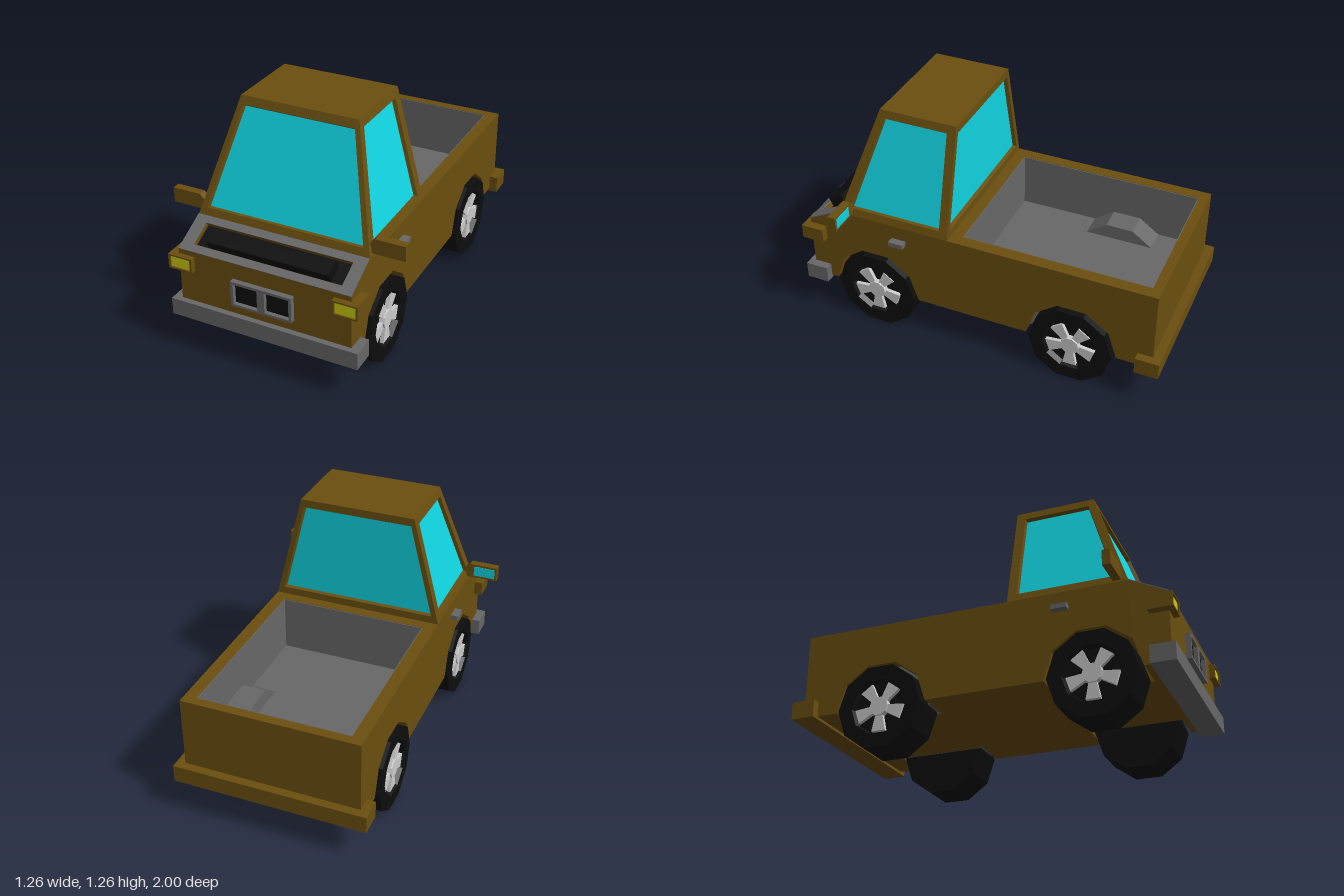
import * as THREE from 'three';

const mat = (name, color) => Object.assign(new THREE.MeshStandardMaterial({ color }), { name });
const paint = mat('brown paint', 0x6b4f0f);
const glass = mat('cyan glass', 0x11d5e2);
const grey = mat('grey trim', 0x686868);
const black = mat('black rubber', 0x0d0d0d);
const silver = mat('silver rim', 0xcccccc);
const yellow = mat('yellow lamp', 0xcccc12);

const BOTTOM = 0.215, BELT = 0.67, ROOF = 1.26, HALF = 0.465, BED = 0.4, WELL = 0.265;
const AXLES = [0.59, -0.52], ARCH = 0.246, TYRE = 0.226;
const SLOPE = Math.atan2(0.095, 0.19); // bonnet tilt

export function createModel() {
  const model = new THREE.Group();
  model.name = 'pickupTruck';

  const add = (name, geo, material, parent = model) => {
    const mesh = new THREE.Mesh(geo, material);
    mesh.name = name;
    parent.add(mesh);
    return mesh;
  };
  const flat = (geo) => {
    const g = geo.index ? geo.toNonIndexed() : geo;
    g.computeVertexNormals();
    return g;
  };
  // box given by its limits on each axis
  const box = (name, m, [x0, x1], [y0, y1], [z0, z1], parent) => {
    const b = add(name, new THREE.BoxGeometry(x1 - x0, y1 - y0, z1 - z0), m, parent);
    b.position.set((x0 + x1) / 2, (y0 + y1) / 2, (z0 + z1) / 2);
    return b;
  };
  const shapeOf = (pts) => new THREE.Shape(pts.map(([x, y]) => new THREE.Vector2(x, y)));
  const rectPath = (x0, x1, y0, y1) => shapeOf([[x0, y0], [x0, y1], [x1, y1], [x1, y0]]);
  const extrude = (shape, depth) => new THREE.ExtrudeGeometry(shape, { depth, bevelEnabled: false });
  // (z, y) side outline swept from x0 to x1
  const slab = (name, m, pts, x0, x1) =>
    add(name, extrude(shapeOf(pts), x1 - x0).rotateY(-Math.PI / 2).translate(x1, 0, 0), m);
  // upper half of a ten-sided wheel arch, front to back
  const arch = (z, r, steps = [0, 1, 2, 3, 4, 5]) => steps.map((i) =>
    [z + r * Math.cos(i * Math.PI / 5), BOTTOM + r * Math.sin(i * Math.PI / 5)]);

  // Body: outer walls, wheel-well layers and centre, all from one outline
  const outline = (inner, front, rear) => [
    [0.97, 0.575], [0.97, BOTTOM], ...front, ...rear, [-0.955, BOTTOM], [-0.955, BELT],
    ...(inner ? [[-0.905, BELT], [-0.905, 0.365], [0.1, 0.365], [0.1, BELT]] : []),
    [0.78, BELT],
    ...(inner ? [[0.815, 0.6525], [0.8, 0.626], [0.917, 0.568], [0.93, 0.595]] : []),
  ];
  const frontArch = arch(AXLES[0], ARCH), rearArch = arch(AXLES[1], ARCH);
  const rearLow = arch(AXLES[1], ARCH, [0, 1, 4, 5]);
  const wall = outline(false, frontArch, rearArch);
  const mid = outline(true, frontArch, rearLow);
  slab('bodyCentre', paint, outline(true, [], []), -WELL, WELL);
  const liner = [...rearArch, ...arch(AXLES[1], 0.236).reverse()];
  for (const s of [1, -1]) {
    const span = (a, b) => (s > 0 ? [a, b] : [-b, -a]);
    slab('bodySide', paint, wall, ...span(BED, HALF));
    slab('bodyWheelWell', paint, mid, ...span(WELL, BED));
    slab('bedWheelArch', grey, liner, ...span(WELL, BED));
    slab('bedWheelArchEnd', grey, rearArch, ...span(WELL - 0.002, WELL + 0.004));
    box('bedSideLining', grey, span(BED - 0.005, BED), [0.365, BELT - 0.002], [-0.905, 0.1]);
  }
  box('bedFloor', grey, [-BED, BED], [0.365, 0.37], [-0.905, 0.1]);
  box('bedFrontLining', grey, [-BED, BED], [0.365, BELT - 0.002], [0.095, 0.1]);
  box('tailgateLining', grey, [-BED, BED], [0.365, BELT - 0.002], [-0.905, -0.9]);

  // Bonnet: grey surround, dark recess and raised intake
  const surround = shapeOf([[-HALF, -0.106], [HALF, -0.106], [HALF, 0.106], [-HALF, 0.106]]);
  surround.holes.push(rectPath(-BED, BED, -0.065, 0.065));
  const bonnet = add('bonnetSurround', extrude(surround, 0.005), grey);
  bonnet.rotation.x = SLOPE - Math.PI / 2;
  bonnet.position.set(0, 0.6225, 0.875);
  const recess = add('bonnetRecess', new THREE.BoxGeometry(2 * BED, 0.006, 0.13), black);
  recess.rotation.x = SLOPE;
  recess.position.set(0, 0.598, 0.8595);
  const intake = add('bonnetIntake', new THREE.BoxGeometry(0.66, 0.06, 0.088), black);
  intake.rotation.x = SLOPE;
  intake.position.set(0, 0.621, 0.879);

  // Cab: four framed windows with sunken panes, and a roof
  const quads = (list) => {
    const pos = list.flatMap(([a, b, c, d]) => [a, b, c, a, c, d].flatMap((v) => v.toArray()));
    const g = new THREE.BufferGeometry();
    g.setAttribute('position', new THREE.Float32BufferAttribute(pos, 3));
    g.computeVertexNormals();
    return g;
  };
  const windowPanel = (name, outer, hole) => {
    const n = outer[1].clone().sub(outer[0]).cross(outer[3].clone().sub(outer[0])).normalize();
    const centre = hole.reduce((c, p) => c.addScaledVector(p, 0.25), new THREE.Vector3());
    const pane = hole.map((p) => p.clone().lerp(centre, 0.02).addScaledVector(n, -0.02));
    const ring = (a, b) => a.map((p, i) => [p, a[(i + 1) % 4], b[(i + 1) % 4], b[i]]);
    add(name + 'Frame', quads([...ring(outer, hole), ...ring(hole, pane)]), paint);
    add(name + 'Glass', quads([pane]), glass);
  };
  const up = (y) => (y - BELT) / (ROOF - BELT);
  const sideX = (y) => HALF - 0.152 * up(y);
  const frontZ = (y) => 0.78 - 0.2 * up(y);
  const V = (x, y, z) => new THREE.Vector3(x, y, z);
  const LOW = 0.71, HIGH = 1.217, BACK = 0.16;
  const across = (y0, y1, w0, w1, z) =>
    [V(-w0, y0, z(y0)), V(w0, y0, z(y0)), V(w1, y1, z(y1)), V(-w1, y1, z(y1))];
  const flip = (pts) => pts.map((p) => V(-p.x, p.y, p.z)).reverse();
  const rearZ = () => BACK;
  const wTop = sideX(ROOF);
  windowPanel('windscreen', across(BELT, ROOF, HALF, wTop, frontZ), across(LOW, HIGH, 0.425, 0.297, frontZ));
  windowPanel('rearWindow', across(BELT, ROOF, HALF, wTop, rearZ).reverse(),
    across(LOW, HIGH, 0.425, 0.297, rearZ).reverse());
  const along = (y0, y1, f0, f1, b) =>
    [V(sideX(y0), y0, f0), V(sideX(y0), y0, b), V(sideX(y1), y1, b), V(sideX(y1), y1, f1)];
  const sideOuter = along(BELT, ROOF, frontZ(BELT), frontZ(ROOF), BACK);
  const sideHole = along(LOW, HIGH, 0.715, 0.555, 0.208);
  windowPanel('leftWindow', sideOuter, sideHole);
  windowPanel('rightWindow', flip(sideOuter), flip(sideHole));
  const roofZ = frontZ(ROOF);
  add('roof', quads([[V(-wTop, ROOF, roofZ), V(wTop, ROOF, roofZ), V(wTop, ROOF, BACK), V(-wTop, ROOF, BACK)]]), paint);

  // Bumpers
  box('frontBumper', grey, [-0.51, 0.51], [0.2, 0.292], [0.875, 1]);
  box('rearBumper', paint, [-0.51, 0.51], [0.2, 0.292], [-1, -0.875]);

  // Grille with two dark openings
  const grille = shapeOf([[-0.165, 0.352], [0.165, 0.352], [0.165, 0.49], [-0.165, 0.49]]);
  grille.holes.push(rectPath(-0.15, -0.02, 0.365, 0.476), rectPath(0.02, 0.15, 0.365, 0.476));
  add('grilleFrame', extrude(grille, 0.028), grey).position.z = 0.97;
  box('grilleBack', black, [-0.155, 0.155], [0.36, 0.48], [0.968, 0.976]);

  // Paired details: headlights, handles, mirrors
  const mirrorShape = shapeOf([[0.45, 0.68], [0.63, 0.68], [0.63, 0.76], [0.475, 0.76], [0.44, 0.72]]);
  for (const s of [1, -1]) {
    const span = (a, b) => (s > 0 ? [a, b] : [-b, -a]);
    const lamp = shapeOf([[-0.066, -0.039], [0.066, -0.039], [0.066, 0.039], [-0.066, 0.039]]);
    lamp.holes.push(rectPath(-0.055, 0.055, -0.031, 0.031));
    add('headlightHousing', extrude(lamp, 0.125), paint).position.set(s * 0.444, 0.511, 0.875);
    box('headlightLens', yellow, span(0.388, 0.5), [0.479, 0.543], [0.984, 0.992]);
    box('headlightCore', paint, span(0.388, 0.5), [0.479, 0.543], [0.876, 0.984]);
    box('doorHandle', grey, span(0.46, 0.505), [0.566, 0.592], [0.4, 0.48]);
    const mirror = add('mirrorHousing', extrude(mirrorShape, 0.042), paint);
    mirror.position.z = 0.704;
    if (s < 0) {
      mirror.rotation.y = Math.PI;
      mirror.position.z = 0.746;
    }
    box('mirrorGlass', glass, span(0.5, 0.618), [0.692, 0.748], [0.701, 0.706]);
  }

  // Wheels: ten-sided tyre with a dished face, hub and five flared spokes
  const W = 0.205;
  const tyreProfile = [[0, 0], [TYRE, 0], [TYRE, W], [0.15, W], [0.14, W - 0.03], [0, W - 0.03]]
    .map(([r, y]) => new THREE.Vector2(r, y));
  const tyreGeo = flat(new THREE.LatheGeometry(tyreProfile, 10).rotateZ(-Math.PI / 2));
  const hubGeo = flat(new THREE.CylinderGeometry(0.05, 0.053, 0.03, 10).rotateZ(-Math.PI / 2));
  const spokeGeo = extrude(shapeOf([[-0.037, -0.128], [0.037, -0.128], [0.019, -0.04], [-0.019, -0.04]]), 0.022)
    .rotateY(Math.PI / 2);
  for (const z of AXLES) for (const s of [1, -1]) {
    const wheel = new THREE.Group();
    wheel.name = z > 0 ? 'frontWheel' : 'rearWheel';
    add('tyre', tyreGeo, black, wheel);
    add('hub', hubGeo, silver, wheel).position.x = W - 0.016;
    for (let i = 0; i < 5; i++) {
      const spoke = add('spoke', spokeGeo, silver, wheel);
      spoke.position.x = W - 0.031;
      spoke.rotation.x = i * Math.PI * 0.4;
    }
    wheel.position.set(s * 0.275, BOTTOM, z);
    if (s < 0) wheel.rotation.y = Math.PI;
    model.add(wheel);
  }
  return model;
}
